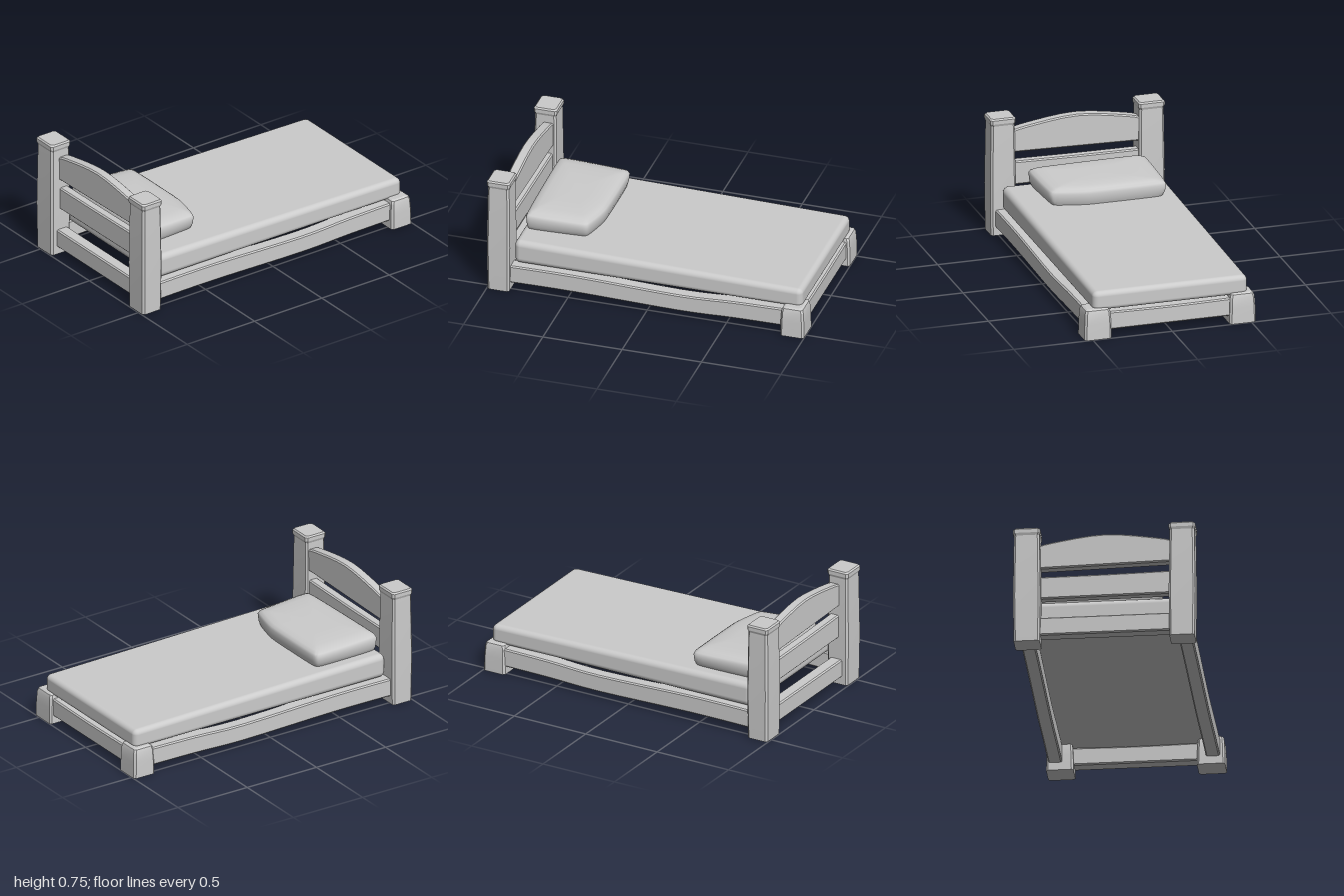
import * as THREE from 'three';
import { toCreasedNormals } from 'three/addons/utils/BufferGeometryUtils.js';
import { RoundedBoxGeometry } from 'three/addons/geometries/RoundedBoxGeometry.js';

const material = new THREE.MeshStandardMaterial({ color: 0xcccccc });

function addMesh(parent, name, geometry) {
  const mesh = new THREE.Mesh(geometry, material);
  mesh.name = name;
  parent.add(mesh);
  return mesh;
}

// Closed solid through stacked rings of [x, y, z] points, bottom to top
function loft(rings, crease) {
  const n = rings[0].length;
  const points = rings.flat();
  const index = [];
  for (let i = 0; i < rings.length - 1; i++) {
    for (let j = 0; j < n; j++) {
      const a = i * n + j, b = i * n + (j + 1) % n;
      index.push(a, b, b + n, a, b + n, a + n);
    }
  }
  const last = (rings.length - 1) * n;
  for (let j = 1; j < n - 1; j++) {
    index.push(0, j + 1, j, last, last + j, last + j + 1);
  }
  const geometry = new THREE.BufferGeometry();
  geometry.setAttribute('position', new THREE.Float32BufferAttribute(points.flat(), 3));
  geometry.setIndex(index);
  return toCreasedNormals(geometry, crease);
}

// Square post with chamfered corners; levels are [y, inset]
function post(x0, x1, z0, z1, levels, c = 0.012) {
  const rings = levels.map(([y, s]) => {
    const l = x0 + s, r = x1 - s, b = z0 + s, f = z1 - s;
    return [[l + c, f], [r - c, f], [r, f - c], [r, b + c], [r - c, b], [l + c, b], [l, b + c], [l, f - c]]
      .map(([x, z]) => [x, y, z]);
  });
  return loft(rings, 0.3);
}

// Bevelled board with curved lower and upper edges, given as [along, y] points
function board(lower, upper, thickness) {
  const bevel = 0.008;
  const curve = (pts, shift) => new THREE.SplineCurve(
    pts.map(([u, y]) => new THREE.Vector2(u, y + shift))).getPoints(16);
  const outline = [...curve(lower, bevel), ...curve(upper, -bevel).reverse()];
  const geometry = new THREE.ExtrudeGeometry(new THREE.Shape(outline), {
    depth: thickness - 2 * bevel, bevelSize: bevel, bevelThickness: bevel, bevelSegments: 1,
  });
  geometry.translate(0, 0, -thickness / 2 + bevel);
  return toCreasedNormals(geometry, 0.4);
}

export function createModel() {
  const bed = new THREE.Group();
  bed.name = 'bed';

  // Tall head posts and short foot posts
  const headLevels = [[0, 0.004], [0.3, 0], [0.66, 0.005], [0.7, 0.006], [0.715, 0], [0.738, 0], [0.747, 0.008]];
  const footLevels = [[0, 0], [0.1, 0.002], [0.165, 0.006], [0.183, 0.012], [0.19, 0.024]];
  addMesh(bed, 'headPostLeft', post(-1, -0.855, 0.39, 0.55, headLevels));
  addMesh(bed, 'headPostRight', post(-1, -0.855, -0.55, -0.385, headLevels));
  addMesh(bed, 'footPostLeft', post(0.85, 1, 0.38, 0.55, footLevels));
  addMesh(bed, 'footPostRight', post(0.85, 1, -0.53, -0.365, footLevels));

  // Side rails, sagging slightly past the middle
  const railBottom = [[-0.9, 0.05], [-0.45, 0.052], [0.2, 0.038], [0.55, 0.047], [0.9, 0.05]];
  const railTop = [[-0.9, 0.165], [-0.45, 0.166], [0.2, 0.147], [0.55, 0.16], [0.9, 0.166]];
  for (const [name, z] of [['sideRailLeft', 0.477], ['sideRailRight', -0.475]]) {
    addMesh(bed, name, board(railBottom, railTop, 0.085)).position.z = z;
  }

  // Boards across the bed: foot rail, head rail and the two headboard planks
  const crossBoards = [
    ['footRail', 0.935, 0.085, [[-0.42, 0.047], [0.42, 0.047]], [[-0.42, 0.162], [0, 0.157], [0.42, 0.162]]],
    ['headRail', -0.92, 0.08, [[-0.42, 0.05], [0.42, 0.05]], [[-0.42, 0.166], [0.42, 0.166]]],
    ['headboardLowerPlank', -0.908, 0.06, [[-0.42, 0.3], [0.42, 0.305]], [[-0.42, 0.445], [0, 0.448], [0.42, 0.455]]],
    ['headboardArch', -0.908, 0.065, [[-0.42, 0.498], [0.42, 0.515]],
      [[-0.42, 0.64], [-0.32, 0.67], [0, 0.712], [0.32, 0.675], [0.42, 0.648]]],
  ];
  for (const [name, x, thickness, lower, upper] of crossBoards) {
    const mesh = addMesh(bed, name, board(lower, upper, thickness));
    mesh.rotation.y = -Math.PI / 2;
    mesh.position.x = x;
  }

  // Mattress, a rounded slab thinning toward the foot
  const mattress = new RoundedBoxGeometry(1.815, 0.14, 0.975, 4, 0.035);
  mattress.translate(0.062, 0, 0);
  const p = mattress.attributes.position;
  for (let i = 0; i < p.count; i++) {
    const height = 0.138 - 0.019 * p.getX(i);
    p.setY(i, 0.17 + (p.getY(i) / 0.14 + 0.5) * height);
  }
  mattress.computeBoundingSphere();
  addMesh(bed, 'mattress', mattress);

  // Pillow: rounded uneven outline, swelling then drawn in to the sloping top
  const outline = new THREE.CatmullRomCurve3([
    [-0.828, 0.28], [-0.785, 0.33], [-0.47, 0.31], [-0.432, 0.275], [-0.39, 0.08],
    [-0.39, -0.37], [-0.435, -0.417], [-0.79, -0.417], [-0.84, -0.365],
  ].map(([x, z]) => new THREE.Vector3(x, 0, z)), true, 'catmullrom', 0.25).getPoints(54).slice(0, 54);
  const cx = -0.615, cz = -0.04;
  const layers = [[0.3, 0.92], [0.325, 0.96], [0.345, 0.985], [0.395, 1], [0.41, 0.975], [0.422, 0.9], [0.43, 0.75], [0.433, 0.4], [0.433, 0.02]];
  addMesh(bed, 'pillow', loft(layers.map(([y, s]) => outline.map((v) => {
    const x = cx + (v.x - cx) * s, z = cz + (v.z - cz) * s;
    const slope = y > 0.39 ? -0.04 * (x - cx) : 0;
    return [x, y + slope, z];
  })), 0.9));

  return bed;
}
